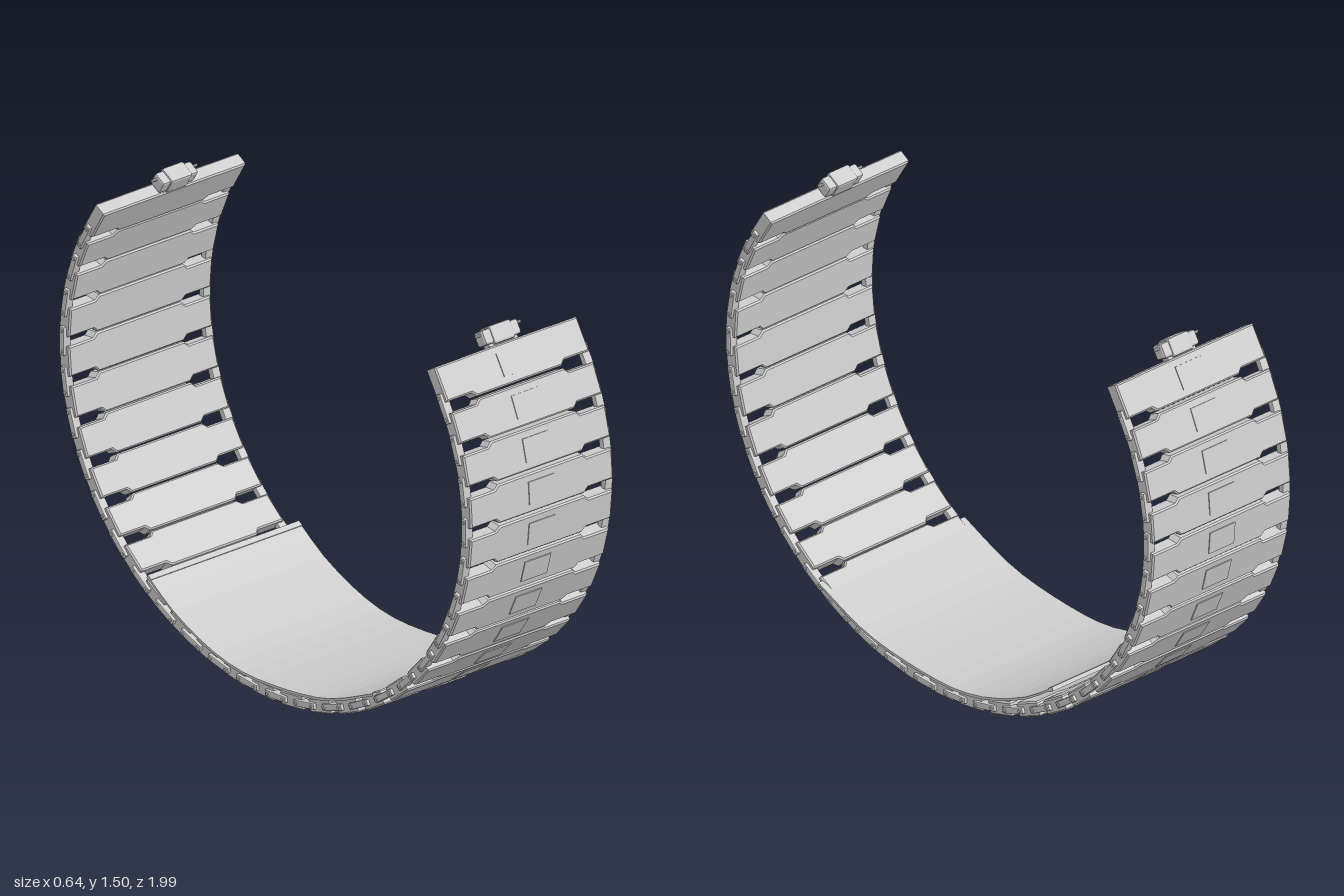
import * as THREE from 'three';
import { RoundedBoxGeometry } from 'three/addons/geometries/RoundedBoxGeometry.js';

const LINKS = 29;
const mat = new THREE.MeshStandardMaterial({ color: 0xcccccc, flatShading: true });

function add(parent, name, geo, x = 0, y = 0, z = 0) {
  const mesh = new THREE.Mesh(geo, mat);
  mesh.name = name;
  mesh.position.set(x, y, z);
  parent.add(mesh);
  return mesh;
}

// Open oval running from the front tip, under the bottom, to the back tip
function braceletPath() {
  const pts = [];
  const from = THREE.MathUtils.degToRad(30.8), to = -Math.PI - THREE.MathUtils.degToRad(31);
  for (let i = 0; i <= 60; i++) {
    const a = from + (to - from) * i / 60;
    const height = a > 0 ? 0.86 : 0.892;
    pts.push(new THREE.Vector3(0, 0.93 + height * Math.sin(a), 0.967 * Math.cos(a)));
  }
  return new THREE.CatmullRomCurve3(pts);
}

// Stand a part on the path: local z points outward, local y back along the path
function placeOn(curve, u, object) {
  const d = curve.getTangentAt(u);
  object.position.copy(curve.getPointAt(u));
  object.rotation.x = Math.atan2(-d.z, -d.y);
}

// Wide link with a longer middle; an end link has a straight outer edge
function linkGeometry(isEnd) {
  const s = new THREE.Shape();
  const top = isEnd ? 0.06 : 0.046;
  s.moveTo(-0.296, -0.046);
  s.lineTo(-0.193, -0.046);
  s.lineTo(-0.177, -0.061);
  s.lineTo(0.177, -0.061);
  s.lineTo(0.193, -0.046);
  s.lineTo(0.296, -0.046);
  s.lineTo(0.296, top);
  s.lineTo(0.193, top);
  s.lineTo(0.177, 0.061);
  s.lineTo(-0.177, 0.061);
  s.lineTo(-0.193, top);
  s.lineTo(-0.296, top);
  s.closePath();
  const g = new THREE.ExtrudeGeometry(s, {
    depth: 0.04, bevelThickness: 0.005, bevelSize: 0.005, bevelSegments: 1,
  });
  return g.translate(0, 0, -0.02);
}

// Small latch with a cross pin at each tip
function tipLatch() {
  const g = new THREE.Group();
  g.name = 'tipLatch';
  add(g, 'latchNeck', new THREE.BoxGeometry(0.12, 0.03, 0.03), 0, -0.03);
  add(g, 'latchBody', new RoundedBoxGeometry(0.15, 0.05, 0.05, 1, 0.008));
  add(g, 'latchCentre', new RoundedBoxGeometry(0.09, 0.062, 0.06, 1, 0.008));
  const pin = new THREE.CylinderGeometry(0.005, 0.005, 0.19, 8).rotateZ(Math.PI / 2);
  add(g, 'latchPin', pin, 0, 0.012, 0.008);
  return g;
}

// Thin faceted plate lying inside the bottom of the band
function claspPlate() {
  const curve = new THREE.SplineCurve([
    [0.54, 0.205], [0.3, 0.108], [0, 0.07], [-0.2, 0.087], [-0.4, 0.16], [-0.54, 0.25],
  ].map(p => new THREE.Vector2(...p)));
  const line = curve.getSpacedPoints(16);
  const upper = line.map(p => new THREE.Vector2(p.x, p.y + 0.009)).reverse();
  const g = new THREE.ExtrudeGeometry(new THREE.Shape([...line, ...upper]), {
    depth: 0.64, bevelEnabled: false,
  });
  return g.rotateY(-Math.PI / 2).translate(0.32, 0, 0);
}

export function createModel() {
  const model = new THREE.Group();
  model.name = 'linkBracelet';
  const curve = braceletPath();
  const middleLink = linkGeometry(false), endLink = linkGeometry(true);
  const inlay = new THREE.BoxGeometry(0.11, 0.078, 0.006);
  const bar = new RoundedBoxGeometry(0.032, 0.1, 0.022, 1, 0.004);
  const pinHead = new THREE.CylinderGeometry(0.006, 0.006, 0.006, 8).rotateZ(Math.PI / 2);

  // Links with a square inlay
  for (let i = 0; i < LINKS; i++) {
    const first = i === 0, last = i === LINKS - 1;
    const link = new THREE.Group();
    link.name = 'link';
    placeOn(curve, i / (LINKS - 1), link);
    const body = new THREE.Group();
    link.add(body);
    add(body, 'linkBody', first || last ? endLink : middleLink);
    add(body, 'squareInlay', inlay, 0, 0, 0.025);
    if (first || last) {
      const latch = tipLatch();
      latch.position.y = 0.1;
      body.add(latch);
    }
    if (last) body.rotation.z = Math.PI;
    model.add(link);
  }

  // Side bars bridging neighbouring links
  for (let i = 0; i < LINKS - 1; i++) {
    const joint = new THREE.Group();
    joint.name = 'joint';
    placeOn(curve, (i + 0.5) / (LINKS - 1), joint);
    for (const side of [-1, 1]) {
      add(joint, 'sideBar', bar, side * 0.296);
      for (const end of [-1, 1]) add(joint, 'pinHead', pinHead, side * 0.312, end * 0.036);
    }
    model.add(joint);
  }

  // Folding clasp plate and its free-end lip
  add(model, 'claspPlate', claspPlate());
  const lip = add(model, 'claspLip', new THREE.BoxGeometry(0.64, 0.014, 0.02), 0, 0.252, -0.537);
  lip.rotation.x = 0.55;

  return model;
}
